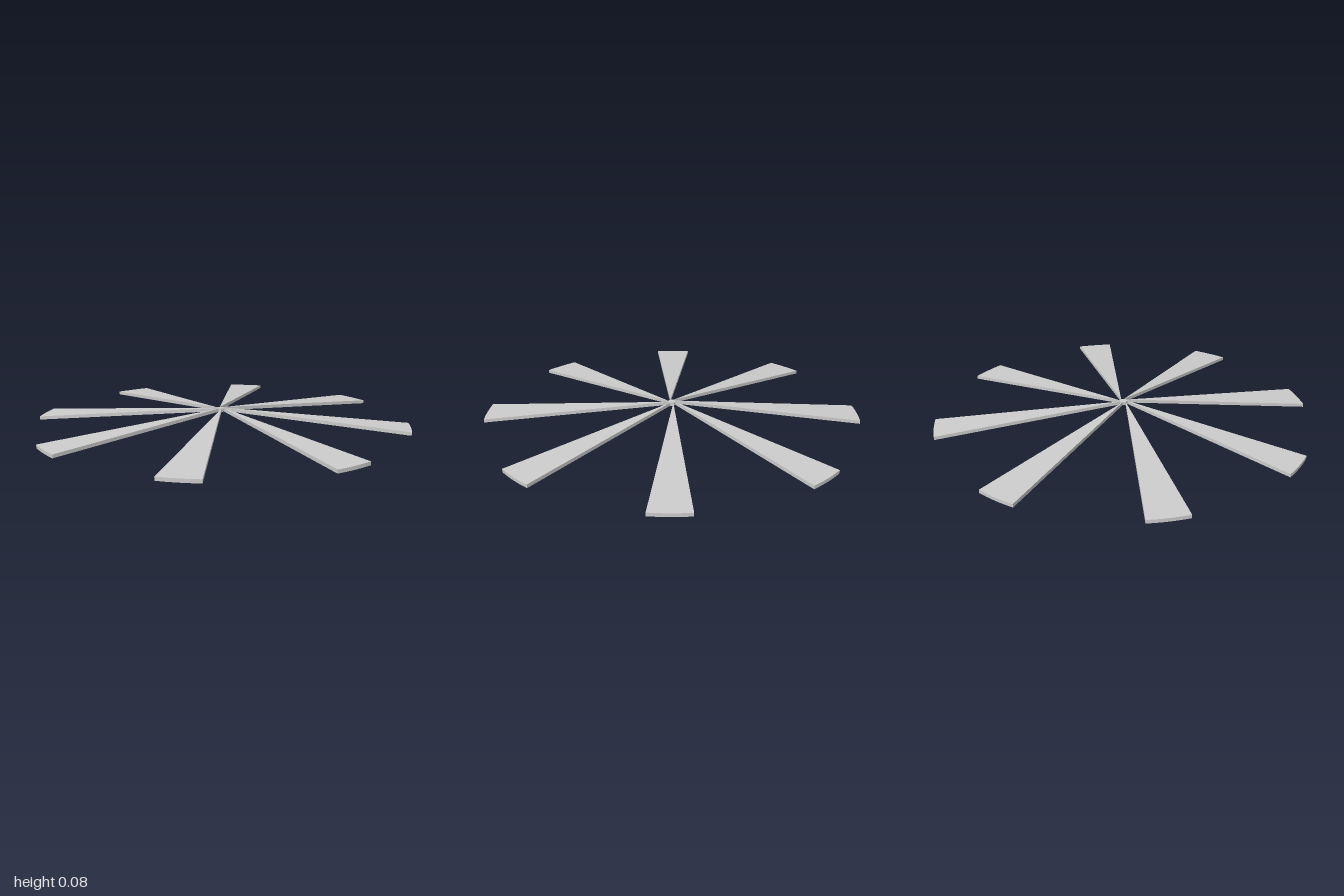
import * as THREE from 'three';

const BLADES = 8, INNER = 0.02, OUTER = 1, THICK = 0.018, RISE = 0.067;

// Wedge plate with a curved tip, sloping down from the centre outwards
function bladeGeometry() {
  const half = Math.asin(0.1);
  const shape = new THREE.Shape();
  shape.moveTo(INNER, -0.0083);
  shape.absarc(0, 0, OUTER, -half, half, false);
  shape.lineTo(INNER, 0.0083);
  shape.closePath();
  const geo = new THREE.ExtrudeGeometry(shape, { depth: THICK, bevelEnabled: false, curveSegments: 4 });
  geo.rotateX(-Math.PI / 2);
  const p = geo.attributes.position;
  for (let i = 0; i < p.count; i++) {
    p.setY(i, p.getY(i) + RISE * (1 - p.getX(i) / OUTER));
  }
  geo.computeVertexNormals();
  return geo;
}

export function createModel() {
  const group = new THREE.Group();
  group.name = 'bladeWheel';
  const material = new THREE.MeshStandardMaterial({ color: 0xcccccc, flatShading: true });

  // Radiating blades
  const geo = bladeGeometry();
  for (let i = 0; i < BLADES; i++) {
    const blade = new THREE.Mesh(geo, material);
    blade.name = 'blade' + (i + 1);
    blade.rotation.y = (i * 2 * Math.PI) / BLADES;
    group.add(blade);
  }

  // Small octagonal hub filling the gap between the blade roots
  const hubRadius = INNER / Math.cos(Math.PI / BLADES);
  const hubGeo = new THREE.CylinderGeometry(hubRadius, hubRadius, THICK, BLADES);
  hubGeo.rotateY(Math.PI / BLADES);
  const hub = new THREE.Mesh(hubGeo, material);
  hub.name = 'hub';
  hub.position.y = RISE * (1 - INNER) + THICK / 2;
  group.add(hub);

  return group;
}
